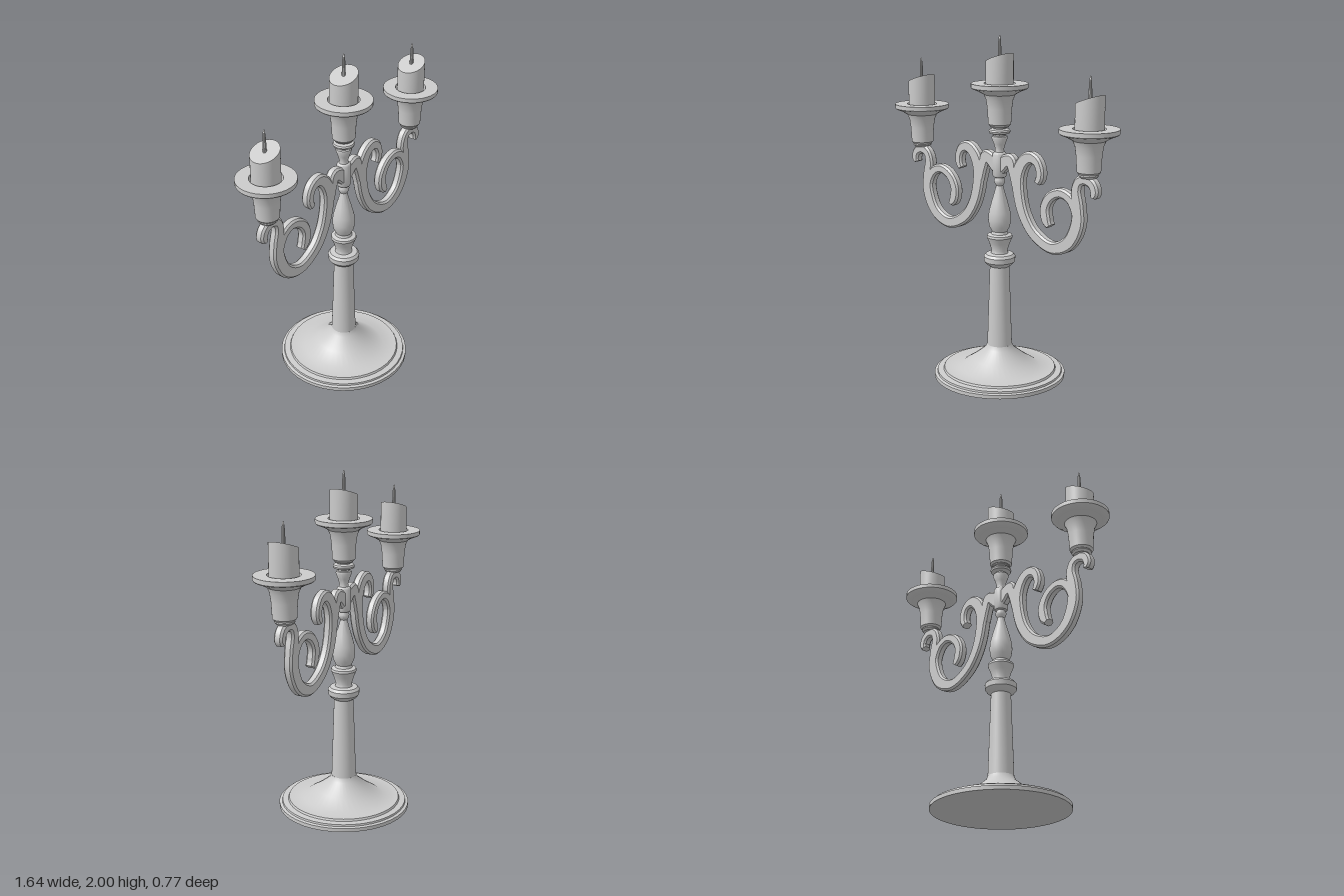
import * as THREE from 'three';
import { toCreasedNormals } from 'three/addons/utils/BufferGeometryUtils.js';

const material = new THREE.MeshStandardMaterial({ color: 0xcccccc });

function mesh(name, geometry, crease = 0.6) {
  const m = new THREE.Mesh(toCreasedNormals(geometry, crease), material);
  m.name = name;
  return m;
}

// Turned part from [radius, height] pairs, bottom to top
function turned(name, profile, segments = 32) {
  return mesh(name, new THREE.LatheGeometry(profile.map(([r, y]) => new THREE.Vector2(r, y)), segments));
}

// Flat scroll with bevelled edges along [x, y, width] points
function scroll(name, points, steps) {
  const curve = new THREE.CatmullRomCurve3(points.map(p => new THREE.Vector3(...p)));
  const half = 0.026, bevel = 0.011;
  const pos = [], index = [], n = 8;
  for (let i = 0; i <= steps; i++) {
    const p = curve.getPoint(i / steps), t = curve.getTangent(i / steps);
    const len = Math.hypot(t.x, t.y), nx = -t.y / len, ny = t.x / len;
    const w = p.z / 2, wi = w - bevel, hi = half - bevel;
    const section = [[w, -hi], [w, hi], [wi, half], [-wi, half], [-w, hi], [-w, -hi], [-wi, -half], [wi, -half]];
    for (const [u, z] of section) pos.push(p.x + nx * u, p.y + ny * u, z);
  }
  for (let i = 0; i < steps; i++) for (let j = 0; j < n; j++) {
    const a = i * n + j, b = i * n + (j + 1) % n;
    index.push(a, b, a + n, b, b + n, a + n);
  }
  // end caps
  const e = steps * n;
  for (let j = 1; j < n - 1; j++) index.push(0, j + 1, j, e, e + j, e + j + 1);
  const g = new THREE.BufferGeometry();
  g.setAttribute('position', new THREE.Float32BufferAttribute(pos, 3));
  g.setIndex(index);
  return mesh(name, g);
}

// Cup with drip plate, slanted candle and wick; origin at the cup's bottom
function candleHolder(name, x, y, candleTop) {
  const g = new THREE.Group();
  g.name = name;
  g.add(turned('cup', [
    [0, 0], [0.055, 0], [0.065, 0.012], [0.07, 0.1], [0.077, 0.15], [0.09, 0.18],
    [0.125, 0.2], [0.158, 0.213], [0.162, 0.218], [0.162, 0.242], [0.089, 0.242], [0.086, 0.19], [0, 0.19],
  ]));
  const bottom = 0.185;
  const body = new THREE.CylinderGeometry(0.079, 0.079, candleTop - bottom, 32);
  body.translate(0, (candleTop + bottom) / 2, 0);
  const p = body.attributes.position;
  for (let i = 0; i < p.count; i++) {
    if (p.getY(i) > candleTop - 0.01) p.setY(i, candleTop + p.getX(i) * 0.38);
  }
  g.add(mesh('candle', body));
  const top = candleTop + 0.125;
  g.add(turned('wick', [
    [0.011, candleTop - 0.02], [0.01, candleTop + 0.04], [0.008, top - 0.035], [0.004, top - 0.005], [0, top],
  ], 10));
  g.position.set(x, y, 0);
  return g;
}

// Scrolled side arm reaching towards +x
function arm(name) {
  const g = new THREE.Group();
  g.name = name;
  g.add(scroll('mainScroll', [
    [0.305, 1.212, 0.045], [0.322, 1.245, 0.055], [0.322, 1.285, 0.058], [0.297, 1.33, 0.06],
    [0.247, 1.345, 0.07], [0.198, 1.315, 0.08], [0.158, 1.235, 0.09], [0.163, 1.13, 0.085],
    [0.203, 1.01, 0.077], [0.28, 0.915, 0.072], [0.415, 0.861, 0.07], [0.535, 0.91, 0.08],
    [0.597, 1.025, 0.088], [0.598, 1.13, 0.078], [0.586, 1.215, 0.066], [0.605, 1.263, 0.058],
    [0.65, 1.279, 0.056], [0.698, 1.258, 0.056], [0.712, 1.22, 0.055], [0.702, 1.193, 0.038],
  ], 110));
  g.add(scroll('innerCurl', [
    [0.6, 1.06, 0.07], [0.575, 1.12, 0.065], [0.537, 1.162, 0.058], [0.475, 1.18, 0.055],
    [0.402, 1.148, 0.06], [0.362, 1.08, 0.066], [0.371, 1.015, 0.066], [0.395, 0.98, 0.042],
  ], 44));
  g.add(scroll('hubBracket', [
    [0.135, 1.17, 0.05], [0.118, 1.25, 0.065], [0.098, 1.305, 0.08], [0.065, 1.3, 0.08], [0.015, 1.262, 0.09],
  ], 24));
  // button under the cup
  g.add(turned('cupFoot', [[0, 1.293], [0.045, 1.293], [0.055, 1.305], [0.05, 1.32], [0, 1.32]]).translateX(0.66));
  return g;
}

export function createModel() {
  const model = new THREE.Group();
  model.name = 'candelabrum';

  model.add(turned('base', [
    [0, 0], [0.387, 0], [0.387, 0.022], [0.37, 0.026], [0.368, 0.037], [0.333, 0.04], [0.328, 0.052],
    [0.24, 0.052], [0.16, 0.105], [0.085, 0.165], [0.073, 0.19], [0, 0.19],
  ], 40));

  model.add(turned('column', [
    [0.073, 0.185], [0.057, 0.67], [0.075, 0.682], [0.09, 0.7], [0.092, 0.73], [0.08, 0.745],
    [0.05, 0.75], [0.046, 0.765], [0.06, 0.81], [0.075, 0.845], [0.072, 0.858], [0.05, 0.865],
    [0.045, 0.88], [0.06, 0.91], [0.066, 0.95], [0.062, 0.995], [0.045, 1.06], [0.03, 1.11],
    [0.02, 1.15], [0.03, 1.165], [0.032, 1.18], [0.025, 1.195], [0.025, 1.21],
  ]));

  model.add(turned('hub', [
    [0.022, 1.195], [0.036, 1.2], [0.041, 1.21], [0.041, 1.33], [0.036, 1.34], [0.027, 1.345],
    [0.025, 1.36], [0.033, 1.39], [0.046, 1.425], [0.044, 1.435], [0.034, 1.438], [0.034, 1.445],
    [0.058, 1.453], [0.062, 1.464], [0.058, 1.474], [0.038, 1.479], [0.038, 1.483],
    [0.052, 1.487], [0.052, 1.496], [0, 1.496],
  ]));

  for (const [side, angle] of [['left', 0], ['right', Math.PI]]) {
    const a = arm(side + 'Arm');
    a.rotation.y = angle;
    model.add(a);
  }

  model.add(candleHolder('leftCandleHolder', 0.66, 1.312, 0.395));
  model.add(candleHolder('rightCandleHolder', -0.66, 1.312, 0.395));
  model.add(candleHolder('middleCandleHolder', 0, 1.493, 0.385));
  return model;
}
